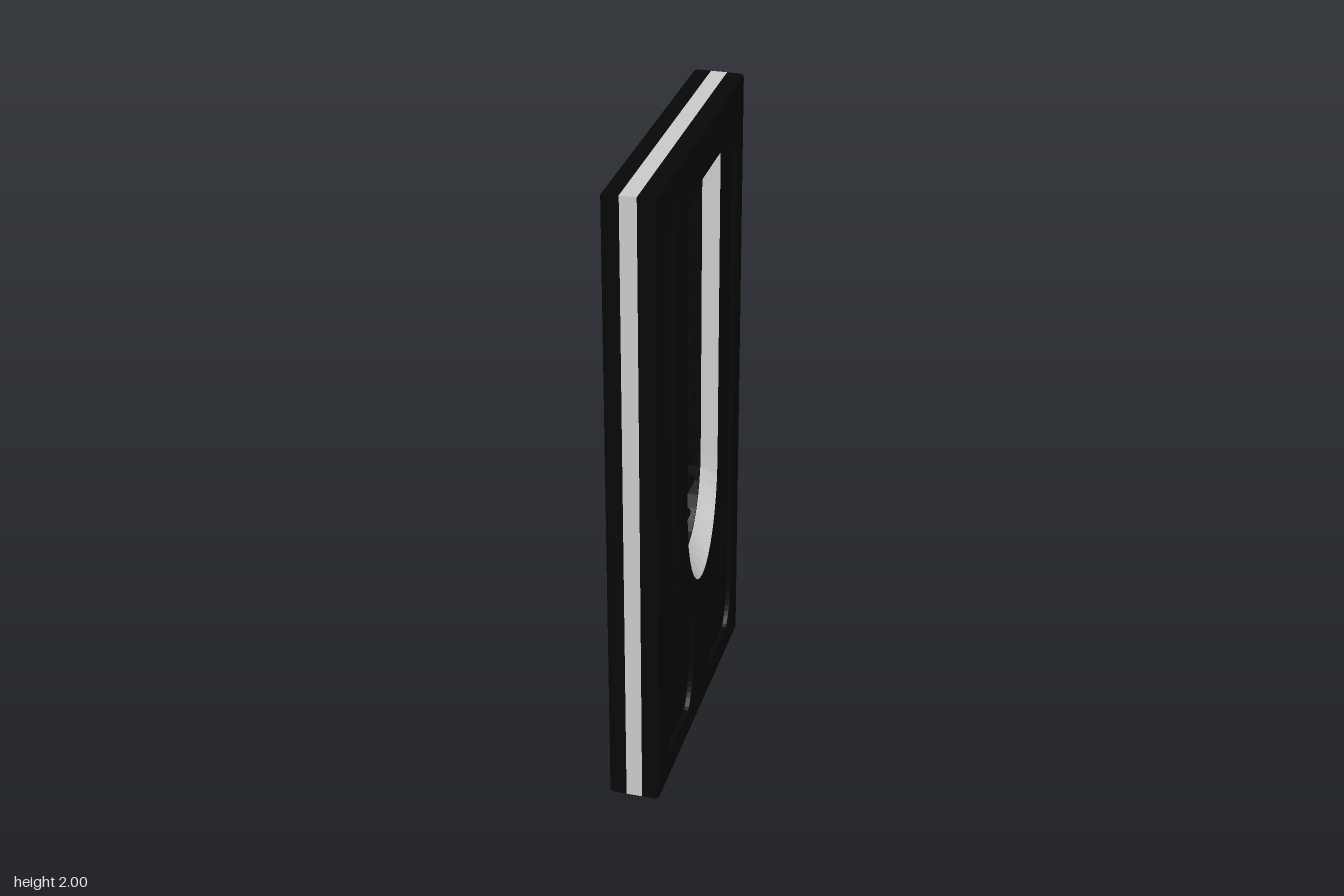
import * as THREE from 'three';

const dark = new THREE.MeshStandardMaterial({ color: 0x070707, side: THREE.DoubleSide, flatShading: true });
const grey = new THREE.MeshStandardMaterial({ color: 0xcccccc, side: THREE.DoubleSide, flatShading: true });

const HALF_W = 0.49, TOP = 2, FRAME = 0.033;

// U-shaped loop: flat top, straight sides, half-ellipse bottom (counter-clockwise)
function uLoop(w, top, spring, bottom, n = 16) {
  const pts = [new THREE.Vector2(-w, top)];
  for (let i = 0; i <= n; i++) {
    const a = Math.PI * (1 + i / n);
    pts.push(new THREE.Vector2(w * Math.cos(a), spring + (spring - bottom) * Math.sin(a)));
  }
  pts.push(new THREE.Vector2(w, top));
  return pts;
}

const openingOuter = uLoop(0.181, 1.87, 0.84, 0.518);
const openingInner = uLoop(0.17, 1.8, 0.86, 0.602);
const openingFrame = uLoop(0.166, 1.797, 0.86, 0.61);

// Skin between closed loops, each given as [points, depth]
function loft(loops) {
  const pos = [], idx = [], n = loops[0][0].length;
  for (const [pts, z] of loops) for (const p of pts) pos.push(p.x, p.y, z);
  for (let r = 0; r < loops.length - 1; r++) {
    for (let i = 0; i < n; i++) {
      const j = (i + 1) % n, a = r * n + i, b = r * n + j, c = b + n, d = a + n;
      idx.push(a, b, c, a, c, d);
    }
  }
  const g = new THREE.BufferGeometry();
  g.setAttribute('position', new THREE.Float32BufferAttribute(pos, 3));
  g.setIndex(idx);
  g.computeVertexNormals();
  return g;
}

function outline() {
  const s = new THREE.Shape();
  s.moveTo(-HALF_W, 0);
  s.lineTo(HALF_W, 0);
  s.lineTo(HALF_W, TOP);
  s.lineTo(-HALF_W, TOP);
  s.closePath();
  return s;
}

// Recessed field beside the window that sweeps under it; m = 1 or -1 mirrors it
function recess(m) {
  const p = new THREE.Path();
  p.moveTo(0.29 * m, 1.895);
  p.lineTo(0.35 * m, 1.895);
  p.quadraticCurveTo(0.4 * m, 1.895, 0.41 * m, 1.72);
  p.lineTo(0.41 * m, 0.25);
  p.quadraticCurveTo(0.4 * m, 0.09, 0.34 * m, 0.086);
  p.lineTo(0.15 * m, 0.086);
  p.quadraticCurveTo(0.085 * m, 0.09, 0.08 * m, 0.25);
  p.lineTo(0.08 * m, 0.39);
  p.quadraticCurveTo(0.085 * m, 0.43, 0.12 * m, 0.453);
  p.quadraticCurveTo(0.272 * m, 0.57, 0.282 * m, 0.85);
  p.lineTo(0.282 * m, 1.8);
  p.closePath();
  return p;
}

function add(parent, name, geometry, material) {
  const m = new THREE.Mesh(geometry, material);
  m.name = name;
  parent.add(m);
  return m;
}

// One face of the door, built facing +z
function doorFace(name) {
  const g = new THREE.Group();
  g.name = name;

  const back = outline();
  back.holes.push(new THREE.Path(openingOuter));
  add(g, 'backingPanel', new THREE.ExtrudeGeometry(back, { depth: 0.037, bevelEnabled: false }), dark)
    .position.z = 0.025;

  const front = outline();
  front.holes.push(new THREE.Path(openingOuter), recess(1), recess(-1));
  add(g, 'facePanel', new THREE.ExtrudeGeometry(front, {
    depth: 0.012, bevelThickness: 0.012, bevelSize: 0.008, bevelOffset: -0.008, bevelSegments: 2, curveSegments: 10,
  }), dark).position.z = 0.055;

  // Raised surround of the window
  add(g, 'windowSurround', loft([
    [uLoop(0.268, 1.99, 0.84, 0.44), 0.076],
    [uLoop(0.242, 1.92, 0.84, 0.47), 0.085],
    [openingOuter, 0.085],
  ]), dark);

  // Light tapered lining, down to the dark frame
  add(g, 'windowReveal', loft([[openingOuter, 0.085], [openingInner, FRAME]]), grey);
  add(g, 'frameLip', loft([[openingInner, FRAME], [openingFrame, FRAME]]), dark);
  return g;
}

export function createModel() {
  const model = new THREE.Group();
  model.name = 'door';

  const right = doorFace('rightFace'), left = doorFace('leftFace');
  left.rotation.y = Math.PI / 2;
  right.rotation.y = -Math.PI / 2;
  model.add(left, right);

  // Light core showing along the edges
  const shape = outline();
  shape.holes.push(new THREE.Path(openingOuter));
  const coreGeo = new THREE.ExtrudeGeometry(shape, { depth: 0.05, bevelEnabled: false });
  coreGeo.translate(0, 0, -0.025).rotateY(Math.PI / 2);
  add(model, 'core', coreGeo, grey);

  // Dark wall of the window frame that holds the bars
  const frameGeo = loft([[openingFrame, FRAME], [openingFrame, -FRAME]]).rotateY(Math.PI / 2);
  add(model, 'windowFrame', frameGeo, dark);

  // Light plate under the bottom edge
  add(model, 'footPlate', new THREE.BoxGeometry(0.1, 0.008, 0.6), grey).position.y = 0.003;

  // Round window bars, cut to the width of the opening at their height
  const bars = new THREE.Group();
  bars.name = 'windowBars';
  model.add(bars);
  const addBar = (name, y, radius, halfLength) => {
    const bar = new THREE.CylinderGeometry(radius, radius, 2 * halfLength, 10).rotateX(Math.PI / 2);
    add(bars, name, bar, dark).position.y = y;
  };
  for (let i = 0; i < 12; i++) {
    const y = 1.735 - i * 0.0968;
    const t = Math.min(0, (y - 0.86) / 0.25);
    addBar('bar', y, 0.018, 0.166 * Math.sqrt(1 - t * t) + 0.004);
  }
  addBar('topBar', 1.79, 0.01, 0.17);

  return model;
}
